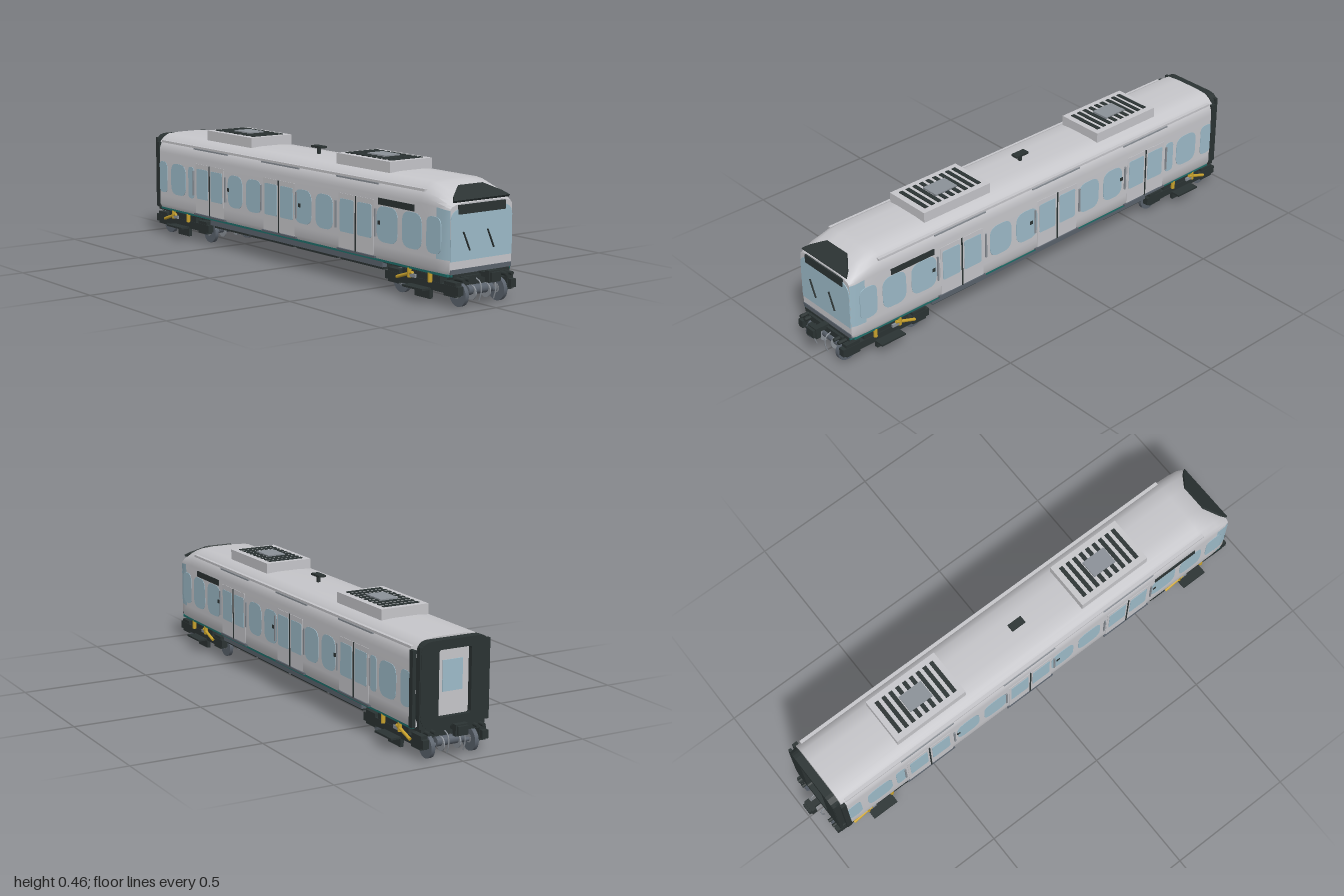
import * as THREE from 'three';
import { toCreasedNormals } from 'three/addons/utils/BufferGeometryUtils.js';

const mat = (name, color) => {
  const m = new THREE.MeshStandardMaterial({ color });
  m.name = name;
  return m;
};

export function createModel() {
  const M = {
    shell: mat('shellGrey', 0xc6c6ca),
    glass: mat('paleBlueGlass', 0x9dbbc9),
    dark: mat('darkCharcoal', 0x2b3333),
    steel: mat('steelGrey', 0x5a626c),
    teal: mat('tealSill', 0x1f6e6a),
    yellow: mat('yellowSpring', 0xc9a22c),
    fan: mat('fanGrey', 0x8b9198),
  };
  const root = new THREE.Group();
  root.name = 'railcar';

  const add = (name, geo, m, x = 0, y = 0, z = 0, parent = root) => {
    const mesh = new THREE.Mesh(geo, m);
    mesh.name = name;
    mesh.position.set(x, y, z);
    parent.add(mesh);
    return mesh;
  };
  // Box given by its limits along each axis
  const box = (name, m, x0, x1, y0, y1, z0, z1, parent = root) =>
    add(name, new THREE.BoxGeometry(x1 - x0, y1 - y0, z1 - z0), m,
      (x0 + x1) / 2, (y0 + y1) / 2, (z0 + z1) / 2, parent);
  // Cylinder lying along z or x
  const cyl = (name, m, r, len, axis, x, y, z, parent = root, seg = 20) => {
    const g = new THREE.CylinderGeometry(r, r, len, seg);
    if (axis === 'z') g.rotateX(Math.PI / 2);
    if (axis === 'x') g.rotateZ(Math.PI / 2);
    return add(name, g, m, x, y, z, parent);
  };
  const roundRect = (w, h, r) => {
    const s = new THREE.Shape();
    const a = w / 2, b = h / 2;
    s.moveTo(-a + r, -b);
    s.lineTo(a - r, -b); s.quadraticCurveTo(a, -b, a, -b + r);
    s.lineTo(a, b - r); s.quadraticCurveTo(a, b, a - r, b);
    s.lineTo(-a + r, b); s.quadraticCurveTo(-a, b, -a, b - r);
    s.lineTo(-a, -b + r); s.quadraticCurveTo(-a, -b, -a + r, -b);
    return s;
  };
  const extrude = (shape, depth) =>
    new THREE.ExtrudeGeometry(shape, { depth, bevelEnabled: false, curveSegments: 6 });

  // Shell cross-section, half of it as [z, y] from sill to roof ridge
  const half = [[0.143, 0.115], [0.15, 0.13], [0.15, 0.165], [0.15, 0.345], [0.148, 0.365],
    [0.14, 0.384], [0.122, 0.403], [0.1, 0.416], [0.05, 0.42]];
  const ring = (x, w, top) => {
    const right = half.map(([z, y]) => [x, y > 0.33 ? 0.33 + (y - 0.33) * (top - 0.33) / 0.09 : y, z * w / 0.15]);
    return [...right, ...right.map(([a, b, c]) => [a, b, -c]).reverse()];
  };
  const stations = [[-0.91, 0.15, 0.42], [0.78, 0.15, 0.42], [0.81, 0.15, 0.416], [0.86, 0.1495, 0.398],
    [0.9, 0.147, 0.374], [0.92, 0.14, 0.358]];
  const rings = stations.map((s) => ring(...s));
  const n = rings[0].length;
  const shellPts = [], glassPts = [];
  for (let i = 0; i < rings.length - 1; i++) {
    for (let j = 0; j < n; j++) {
      const k = (j + 1) % n;
      const a = rings[i][j], b = rings[i + 1][j], c = rings[i + 1][k], d = rings[i][k];
      const glazed = i >= 3 && (j === 2 || j === n - 4);
      (glazed ? glassPts : shellPts).push(...a, ...b, ...c, ...a, ...c, ...d);
    }
  }
  // End caps
  const first = rings[0], last = rings[rings.length - 1];
  for (let j = 1; j < n - 1; j++) {
    shellPts.push(...first[0], ...first[j], ...first[j + 1]);
    shellPts.push(...last[0], ...last[j + 1], ...last[j]);
  }
  const loft = (pts) => {
    const g = new THREE.BufferGeometry();
    g.setAttribute('position', new THREE.Float32BufferAttribute(pts, 3));
    return toCreasedNormals(g, 0.55);
  };
  add('bodyShell', loft(shellPts), M.shell);
  add('noseSideGlass', loft(glassPts), M.glass);

  // Cab front: glass, marker bar, lower bands, wipers
  const pane = new THREE.Shape();
  pane.moveTo(-0.139, 0.16); pane.lineTo(0.139, 0.16); pane.lineTo(0.139, 0.3);
  pane.quadraticCurveTo(0.136, 0.335, 0.1, 0.338);
  pane.lineTo(-0.1, 0.338); pane.quadraticCurveTo(-0.136, 0.335, -0.139, 0.3);
  const paneGeo = extrude(pane, 0.004);
  paneGeo.rotateY(Math.PI / 2);
  add('windscreen', paneGeo, M.glass, 0.919);
  box('destinationBar', M.dark, 0.916, 0.926, 0.32, 0.352, -0.106, 0.106);
  box('frontLowerBand', M.steel, 0.916, 0.923, 0.116, 0.132, -0.138, 0.138);
  for (const z of [0.07, -0.039]) {
    const w = box('wiper', M.dark, 0.923, 0.928, 0.19, 0.262, z - 0.002, z + 0.002);
    w.rotation.x = 0.42;
  }
  // Dark visor lying on the sloping brow
  const visor = new THREE.Shape();
  visor.moveTo(-0.127, 0); visor.lineTo(0.127, 0); visor.lineTo(0.11, 0.025);
  visor.lineTo(0.055, 0.074); visor.lineTo(-0.055, 0.074); visor.lineTo(-0.11, 0.025);
  const visorGeo = extrude(visor, 0.009);
  visorGeo.rotateX(-0.98); // lean back
  visorGeo.rotateY(Math.PI / 2);
  add('visor', visorGeo, M.dark, 0.918, 0.36, 0);

  // Rear gangway with its door
  const gang = roundRect(0.272, 0.302, 0.045);
  gang.holes.push(roundRect(0.13, 0.235, 0.01));
  const gangGeo = extrude(gang, 0.032);
  gangGeo.rotateY(-Math.PI / 2);
  add('gangwayFrame', gangGeo, M.dark, -0.912, 0.264, 0);
  box('rearDoor', M.shell, -0.925, -0.905, 0.14, 0.39, -0.07, 0.07);
  box('rearDoorWindow', M.glass, -0.928, -0.924, 0.23, 0.34, -0.04, 0.04);

  // Both sides: windows as [x0, x1], doors by centre line
  const windows = [[-0.9, -0.84], [-0.81, -0.7], [-0.395, -0.295], [-0.27, -0.165],
    [0.05, 0.155], [0.18, 0.285], [0.54, 0.655], [0.68, 0.785], [0.81, 0.885]];
  const doors = [-0.525, -0.052, 0.42];
  for (const s of [1, -1]) {
    const side = new THREE.Group();
    side.name = s > 0 ? 'frontSide' : 'backSide';
    root.add(side);
    const plate = (name, m, x0, x1, y0, y1, r, out) =>
      add(name, extrude(roundRect(x1 - x0, y1 - y0, r), 0.003), m,
        (x0 + x1) / 2, (y0 + y1) / 2, s > 0 ? 0.1485 + out : -0.1515 - out, side);
    const sbox = (name, m, x0, x1, y0, y1, za, zb) =>
      box(name, m, x0, x1, y0, y1, Math.min(s * za, s * zb), Math.max(s * za, s * zb), side);

    for (const [a, b] of windows)
      plate('window', M.glass, a, b, 0.18, 0.308, Math.min(0.04, (b - a) * 0.4), 0);
    plate('halfWindow', M.glass, -0.68, -0.638, 0.18, 0.308, 0.018, 0);
    for (const x of doors) {
      for (const d of [-1, 1]) {
        const c = x + d * 0.051;
        plate('doorLeaf', M.shell, c - 0.05, c + 0.05, 0.125, 0.325, 0.004, 0);
        plate('doorWindow', M.glass, c - 0.04, c + 0.04, 0.185, 0.306, 0.008, 0.0015);
        sbox('grabRail', M.fan, x + d * 0.114 - 0.003, x + d * 0.114 + 0.003, 0.195, 0.295, 0.15, 0.156);
      }
      sbox('doorSeam', M.dark, x - 0.003, x + 0.003, 0.12, 0.325, 0.15, 0.153);
      sbox('doorButton', M.dark, x + 0.126, x + 0.14, 0.24, 0.254, 0.15, 0.153);
      sbox('doorStep', M.steel, x - 0.11, x + 0.11, 0.116, 0.123, 0.143, 0.154);
      sbox('doorCanopy', M.fan, x - 0.12, x + 0.12, 0.38, 0.386, 0.138, 0.147);
    }
    sbox('sideSign', M.dark, 0.55, 0.745, 0.312, 0.335, 0.15, 0.154);
    sbox('rearEdgeStrip', M.dark, -0.918, -0.897, 0.115, 0.385, 0.14, 0.153);
    sbox('rearCornerPost', M.dark, -0.942, -0.93, 0.115, 0.4, 0.115, 0.14);
    sbox('roofGutter', M.shell, -0.89, 0.79, 0.385, 0.394, 0.13, 0.144);
    sbox('tealSill', M.teal, -0.9, 0.91, 0.107, 0.116, 0.13, 0.143);
    sbox('floorBeam', M.steel, -0.55, 0.55, 0.084, 0.108, 0.112, 0.132);
  }
  box('frontSill', M.teal, 0.9, 0.922, 0.107, 0.117, -0.133, 0.133);

  // Roof units with slotted grilles and a fan cover
  for (const [x0, x1] of [[-0.62, -0.31], [0.235, 0.545]]) {
    const c = (x0 + x1) / 2;
    box('roofUnit', M.shell, x0, x1, 0.412, 0.456, -0.096, 0.096);
    for (let i = -4; i <= 4; i++)
      box('grilleSlot', M.dark, c + i * 0.031 - 0.008, c + i * 0.031 + 0.008, 0.454, 0.459, -0.073, 0.073);
    box('fanCover', M.fan, c - 0.05, c + 0.05, 0.455, 0.463, -0.036, 0.036);
  }
  // Roof aerial
  box('aerialMast', M.dark, -0.006, 0.006, 0.418, 0.445, -0.006, 0.006);
  box('aerialPlate', M.dark, -0.03, 0.03, 0.443, 0.451, -0.015, 0.015);

  // Underframe and equipment boxes
  box('underframe', M.dark, -0.935, 0.925, 0.1, 0.116, -0.128, 0.128);
  for (const [a, b] of [[-0.54, -0.3], [-0.28, 0.0], [0.02, 0.27], [0.29, 0.54]])
    box('equipmentBox', M.dark, a, b, 0.073, 0.102, -0.12, 0.12);

  // Bogies, mirrored end to end
  for (const e of [1, -1]) {
    const bogie = new THREE.Group();
    bogie.name = e > 0 ? 'frontBogie' : 'rearBogie';
    bogie.position.x = e * 0.76;
    root.add(bogie);
    box('bolster', M.dark, -0.12, 0.12, 0.06, 0.105, -0.1, 0.1, bogie);
    box('transom', M.dark, -0.07, 0.07, 0.035, 0.065, -0.055, 0.055, bogie);
    for (const s of [1, -1]) {
      box('sideFrame', M.dark, -0.195, 0.195, 0.048, 0.078, s * 0.12 - 0.012, s * 0.12 + 0.012, bogie);
      box('frameHump', M.dark, -0.1, 0.1, 0.075, 0.1, s * 0.115 - 0.015, s * 0.115 + 0.015, bogie);
      box('brakeShoe', M.dark, -0.04, 0.04, 0.012, 0.05, s * 0.118 - 0.007, s * 0.118 + 0.007, bogie);
      box('stepBoard', M.dark, -0.054, 0.054, 0.047, 0.054, s * 0.148 - 0.023, s * 0.148 + 0.023, bogie);
      for (const d of [-1, 1]) {
        const x = d * 0.15;
        cyl('wheel', M.steel, 0.042, 0.015, 'z', x, 0.042, s * 0.088, bogie, 24);
        cyl('hub', M.fan, 0.016, 0.02, 'z', x, 0.045, s * 0.09, bogie);
        box('axleBox', M.dark, x - 0.03, x + 0.03, 0.04, 0.09, s * 0.118 - 0.013, s * 0.118 + 0.013, bogie);
        cyl('spring', M.yellow, 0.008, 0.034, 'y', d * 0.055, 0.092, s * 0.137, bogie, 10);
      }
      const damper = cyl('damper', M.yellow, 0.006, 0.09, 'x', -0.08, 0.08, s * 0.138, bogie, 10);
      damper.rotation.z = 0.32;
      box('damperLug', M.fan, -0.055, -0.02, 0.078, 0.09, s * 0.138 - 0.004, s * 0.138 + 0.004, bogie);
    }
    for (const d of [-1, 1]) {
      cyl('axle', M.steel, 0.008, 0.17, 'z', d * 0.15, 0.042, 0, bogie, 12);
      cyl('gearCase', M.steel, 0.017, 0.11, 'z', d * 0.15, 0.052, 0, bogie, 14);
      for (const s of [1, -1])
        cyl('brakeDisc', M.fan, 0.026, 0.005, 'z', d * 0.15, 0.043, s * 0.033, bogie, 18);
    }

    // Coupler, buffers and hoses
    const coupler = new THREE.Group();
    coupler.name = e > 0 ? 'frontCoupler' : 'rearCoupler';
    coupler.rotation.y = e > 0 ? 0 : Math.PI;
    root.add(coupler);
    box('drawbar', M.dark, 0.9, 0.975, 0.1, 0.117, -0.012, 0.012, coupler);
    box('couplerHead', M.dark, 0.97, 0.99, 0.087, 0.128, -0.025, 0.025, coupler);
    box('couplerFace', M.dark, 0.988, 1.0, 0.092, 0.123, -0.02, 0.02, coupler);
    box('headstock', M.dark, 0.9, 0.935, 0.085, 0.108, -0.1, 0.1, coupler);
    for (const s of [1, -1]) {
      cyl('bufferRod', M.dark, 0.007, 0.05, 'x', 0.935, 0.1, s * 0.085, coupler, 10);
      cyl('bufferRod', M.dark, 0.007, 0.05, 'x', 0.935, 0.1, s * 0.11, coupler, 10);
      const hose = new THREE.CatmullRomCurve3([[0.92, 0.1], [0.955, 0.085], [0.96, 0.05], [0.95, 0.02]]
        .map(([x, y]) => new THREE.Vector3(x, y, s * 0.033)));
      add('hose', new THREE.TubeGeometry(hose, 10, 0.0025, 6), M.fan, 0, 0, 0, coupler);
    }
  }
  return root;
}
